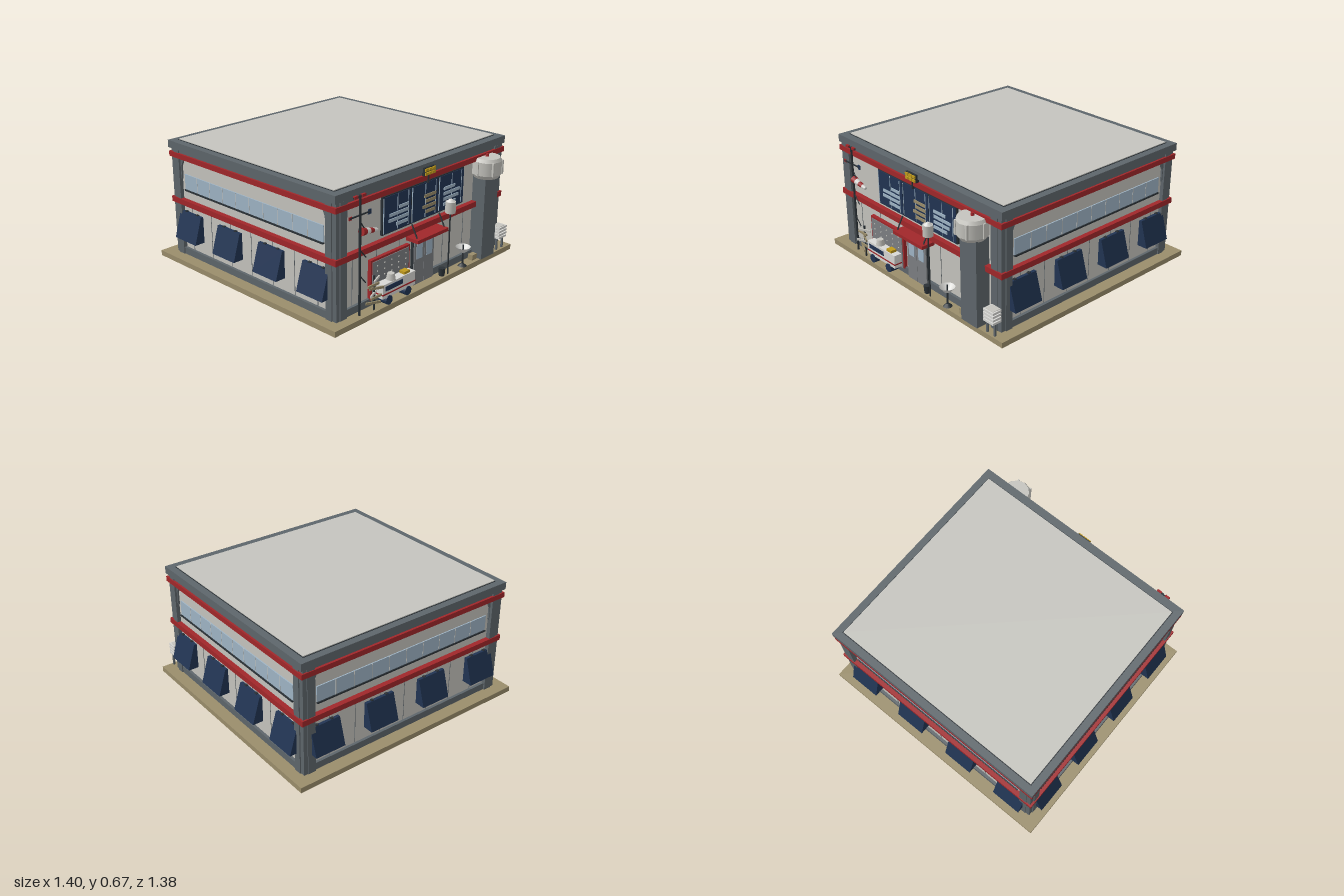
import * as THREE from 'three';

const mat = (name, color, side = THREE.FrontSide) => {
  const m = new THREE.MeshStandardMaterial({ color, side });
  m.name = name;
  return m;
};

export function createModel() {
  const sand = mat('sand', 0x9a8d6b), wall = mat('wallGrey', 0xc5c4be), grey = mat('midGrey', 0x7c7f82),
    slate = mat('slate', 0x5e666b), red = mat('red', 0xa1272a), navy = mat('navy', 0x213453),
    glass = mat('paleBlue', 0x9fb4c5), yellow = mat('yellow', 0xc09a1c), dark = mat('darkMetal', 0x2a3136),
    white = mat('offWhite', 0xd8d8d5, THREE.DoubleSide);
  const model = new THREE.Group();
  model.name = 'building';

  const add = (parent, name, geo, m, x = 0, y = 0, z = 0) => {
    const mesh = new THREE.Mesh(geo, m);
    mesh.name = name;
    mesh.position.set(x, y, z);
    parent.add(mesh);
    return mesh;
  };
  // box given by its ranges
  const box = (parent, name, m, x0, x1, y0, y1, z0, z1) =>
    add(parent, name, new THREE.BoxGeometry(x1 - x0, y1 - y0, z1 - z0), m, (x0 + x1) / 2, (y0 + y1) / 2, (z0 + z1) / 2);
  const cyl = (parent, name, m, x, y0, y1, z, r0, r1 = r0, n = 12) =>
    add(parent, name, new THREE.CylinderGeometry(r1, r0, y1 - y0, n), m, x, (y0 + y1) / 2, z);
  const group = (name, parent = model) => {
    const g = new THREE.Group();
    g.name = name;
    parent.add(g);
    return g;
  };

  // base, walls and roof
  box(model, 'groundSlab', sand, -0.7, 0.7, 0.001, 0.03, -0.67, 0.66);
  box(model, 'underside', wall, -0.62, 0.62, 0, 0.002, -0.59, 0.59);
  box(model, 'walls', wall, -0.62, 0.62, 0.03, 0.62, -0.585, 0.585);
  box(model, 'plinth', slate, -0.635, 0.635, 0.03, 0.068, -0.6, 0.6);
  box(model, 'lowerBand', red, -0.646, 0.646, 0.32, 0.35, -0.613, 0.613);
  box(model, 'upperBand', red, -0.646, 0.646, 0.575, 0.603, -0.613, 0.613);
  box(model, 'cornice', slate, -0.635, 0.635, 0.603, 0.625, -0.6, 0.6);
  box(model, 'parapet', slate, -0.648, 0.648, 0.622, 0.662, -0.615, 0.612);
  box(model, 'roofEdge', dark, -0.61, 0.61, 0.655, 0.664, -0.577, 0.568);
  box(model, 'roofPanel', wall, -0.606, 0.606, 0.655, 0.668, -0.573, 0.564);

  // stepped corner pillars
  for (const sx of [-1, 1]) for (const sz of [-1, 1]) {
    const g = group('cornerPillar');
    const at = (name, w, d, cx, cz) => add(g, name, new THREE.BoxGeometry(w, 0.59, d), slate, sx * cx, 0.325, sz * cz);
    at('pillarCore', 0.065, 0.065, 0.6025, 0.5725);
    at('pillarFrontLeaf', 0.045, 0.03, 0.59, 0.594);
    at('pillarSideLeaf', 0.03, 0.04, 0.626, 0.56);
  }

  // awning wedge: local x is outward, turned to +z
  const wedge = new THREE.Shape([[0, 0.28], [0.016, 0.28], [0.06, 0.135], [0, 0.135]].map(p => new THREE.Vector2(...p)));
  const awningGeo = new THREE.ExtrudeGeometry(wedge, { depth: 0.172, bevelEnabled: false });
  awningGeo.translate(0, 0, -0.086).rotateY(-Math.PI / 2);

  // side and back facades
  const facade = (name, angle, off, half, outer, inner) => {
    const g = group(name);
    g.rotation.y = angle;
    for (const u of [-outer, -inner, inner, outer]) {
      add(g, 'awning', awningGeo, navy, u, 0, off);
      for (const s of [-0.045, 0.045]) box(g, 'awningBracket', dark, u + s - 0.008, u + s + 0.008, 0.272, 0.284, off, off + 0.014);
    }
    box(g, 'windowStrip', glass, -half, half, 0.406, 0.49, off, off + 0.006);
    box(g, 'windowSill', dark, -half, half, 0.398, 0.406, off, off + 0.012);
    for (let i = 1; i < 10; i++) {
      const u = -half + i * half / 5;
      box(g, 'mullion', wall, u - 0.0015, u + 0.0015, 0.406, 0.49, off, off + 0.007);
    }
    for (let i = -3; i <= 3; i++)
      box(g, 'wallSeam', slate, i * 0.157 - 0.001, i * 0.157 + 0.001, 0.07, 0.32, off, off + 0.002);
    for (const s of [-1, 1]) {
      const pts = [[0, 0.575], [s * 0.03, 0.575], [s * 0.03, 0.46], [s * 0.022, 0.46], [s * 0.022, 0.53]];
      const brace = new THREE.Shape(pts.map(p => new THREE.Vector2(...p)));
      add(g, 'cornerBrace', new THREE.ExtrudeGeometry(brace, { depth: 0.01, bevelEnabled: false }), slate, s * (half - 0.003), 0, off);
    }
  };
  facade('leftFacade', Math.PI / 2, 0.62, 0.515, 0.47, 0.157);
  facade('rightFacade', -Math.PI / 2, 0.62, 0.515, 0.47, 0.157);
  facade('backFacade', Math.PI, 0.585, 0.545, 0.505, 0.17);

  // front upper window with display bars
  const Z = 0.585;
  const win = group('frontWindow');
  box(win, 'windowFrame', dark, -0.315, 0.315, 0.368, 0.563, Z, Z + 0.012);
  const bars = [[0.07, 0.14, 0.145, 0.09], [0.09, 0.08, 0.1, 0.08], [0.09, 0.13, 0.12, 0.1]];
  [-0.21, 0, 0.21].forEach((x, i) => {
    box(win, 'pane', navy, x - 0.1, x + 0.1, 0.373, 0.558, Z, Z + 0.016);
    bars[i].forEach((w, j) => {
      const y = 0.488 - j * 0.028, x1 = i === 2 ? x - 0.065 + w : x + 0.08;
      box(win, 'displayBar', i === 1 ? sand : glass, x1 - w, x1, y - 0.008, y + 0.008, Z + 0.014, Z + 0.02);
    });
    for (const s of [-0.1, 0.0, 0.08]) box(win, 'mullion', glass, x + s - 0.0015, x + s + 0.0015, 0.377, 0.555, Z + 0.014, Z + 0.018);
  });
  for (let i = -3; i <= 3; i++) box(model, 'frontSeam', slate, i * 0.17 - 0.001, i * 0.17 + 0.001, 0.07, 0.32, Z, Z + 0.002);

  // double door and canopy
  const door = group('entrance');
  box(door, 'doorFrame', dark, -0.083, 0.078, 0.03, 0.276, Z, Z + 0.016);
  for (const s of [-1, 1]) {
    const x = -0.0025 + s * 0.039;
    box(door, 'doorLeaf', grey, x - 0.038, x + 0.038, 0.03, 0.272, Z, Z + 0.022);
    box(door, 'doorGlass', glass, x - 0.022, x + 0.022, 0.168, 0.25, Z + 0.018, Z + 0.025);
    const rod = cyl(door, 'canopyRod', dark, s * 0.107, 0.3, 0.375, 0.625, 0.004, 0.004, 6);
    rod.rotation.x = -0.5;
  }
  box(door, 'canopy', red, -0.122, 0.119, 0.284, 0.302, Z, 0.662);

  // garage opening
  const garage = group('garageDoor');
  box(garage, 'garageFrame', red, -0.4, -0.115, 0.06, 0.268, Z, Z + 0.02);
  box(garage, 'garageShutter', grey, -0.39, -0.125, 0.06, 0.257, Z, Z + 0.024);
  for (let r = 0; r < 3; r++) for (let c = 0; c < 5; c++)
    box(garage, 'shutterRivet', wall, -0.362 + c * 0.052, -0.356 + c * 0.052, 0.17 + r * 0.03, 0.176 + r * 0.03, Z + 0.02, Z + 0.027);

  // service cart
  const cart = group('cart');
  box(cart, 'cartBody', white, -0.37, -0.13, 0.072, 0.146, 0.611, 0.656);
  box(cart, 'cartStripe', red, -0.371, -0.129, 0.09, 0.097, 0.61, 0.658);
  box(cart, 'cartPanel', navy, -0.352, -0.225, 0.11, 0.134, 0.654, 0.659);
  box(cart, 'cartBox', yellow, -0.205, -0.165, 0.146, 0.16, 0.617, 0.65);
  cyl(cart, 'cartPot', wall, -0.285, 0.146, 0.178, 0.632, 0.024, 0.018);
  for (const x of [-0.325, -0.185])
    add(cart, 'cartWheel', new THREE.CylinderGeometry(0.024, 0.024, 0.05, 16).rotateX(Math.PI / 2), navy, x, 0.056, 0.635);

  // square tower with a faceted tank
  const tower = group('tower');
  box(tower, 'towerShaft', slate, 0.415, 0.53, 0.03, 0.49, 0.585, 0.665);
  cyl(tower, 'towerCollar', wall, 0.468, 0.482, 0.503, 0.63, 0.066, 0.08, 12);
  cyl(tower, 'towerTank', wall, 0.468, 0.503, 0.575, 0.63, 0.08, 0.08, 12);
  cyl(tower, 'towerCap', wall, 0.468, 0.575, 0.592, 0.63, 0.08, 0.07, 12);
  cyl(tower, 'towerBeacon', red, 0.468, 0.592, 0.605, 0.63, 0.01, 0.008, 8);
  for (let i = 0; i < 6; i++) {
    const a = i * Math.PI / 3;
    add(tower, 'tankRib', new THREE.BoxGeometry(0.012, 0.075, 0.012), wall, 0.468 + Math.cos(a) * 0.079, 0.54, 0.63 + Math.sin(a) * 0.079);
  }

  // mast with vane, sock and lamp bar
  const mast = group('mast');
  cyl(mast, 'mastPole', dark, -0.505, 0.03, 0.635, 0.63, 0.006, 0.006, 8);
  box(mast, 'mastLampBar', dark, -0.55, -0.47, 0.626, 0.632, 0.627, 0.633);
  for (const x of [-0.535, -0.485]) box(mast, 'mastLamp', red, x - 0.013, x + 0.013, 0.624, 0.637, 0.624, 0.636);
  box(mast, 'vaneArm', dark, -0.575, -0.44, 0.535, 0.541, 0.627, 0.633);
  box(mast, 'vaneTail', navy, -0.452, -0.432, 0.526, 0.55, 0.628, 0.632);
  box(mast, 'vaneTip', red, -0.58, -0.56, 0.53, 0.546, 0.628, 0.632);
  for (let i = 0; i < 4; i++) {
    const r = 0.02 - i * 0.003;
    const ring = add(mast, 'windSock', new THREE.CylinderGeometry(r - 0.003, r, 0.028, 10), i % 2 ? white : red, -0.485 + i * 0.027, 0.452 - i * 0.005, 0.632);
    ring.rotation.z = -Math.PI / 2 - 0.18;
  }
  for (const [y, a] of [[0.21, 0.7], [0.34, 0.7], [0.475, 0.6]]) {
    const stay = cyl(mast, 'mastStay', dark, -0.483, y - 0.03, y + 0.03, 0.63, 0.003, 0.003, 6);
    stay.rotation.z = a;
  }

  // signpost with arrow boards
  const post = group('signpost');
  cyl(post, 'signPole', dark, -0.415, 0.03, 0.21, 0.64, 0.005, 0.005, 6);
  for (let i = 0; i < 6; i++) {
    const x = -0.415 + (i % 2 ? 0.01 : -0.012);
    const b = box(post, 'signBoard', i % 3 === 2 ? wall : sand, x - 0.038, x + 0.038, 0.068 + i * 0.023, 0.08 + i * 0.023, 0.643, 0.65);
    b.rotation.y = (i % 3 - 1) * 0.4;
  }

  // dish on a stand
  const dish = group('dish');
  const profile = [[0.004, 0.105], [0.02, 0.115], [0.04, 0.14]].map(p => new THREE.Vector2(...p));
  add(dish, 'dishBowl', new THREE.LatheGeometry(profile, 16), white, 0.282, 0, 0.64);
  cyl(dish, 'dishStem', dark, 0.282, 0.035, 0.15, 0.64, 0.005, 0.004, 8);
  cyl(dish, 'dishFoot', dark, 0.282, 0.03, 0.045, 0.64, 0.025, 0.008, 8);

  // lantern post, bin and crate by the door
  cyl(model, 'lanternPole', dark, 0.15, 0.03, 0.375, 0.645, 0.004, 0.004, 8);
  cyl(model, 'lantern', wall, 0.15, 0.37, 0.43, 0.645, 0.027, 0.027, 12);
  cyl(model, 'lanternCap', white, 0.15, 0.43, 0.442, 0.645, 0.022, 0.008, 12);
  cyl(model, 'bin', dark, 0.113, 0.03, 0.072, 0.635, 0.015, 0.018, 10);
  box(model, 'smallCrate', sand, 0.37, 0.41, 0.03, 0.06, 0.61, 0.64);

  // slatted vent unit on legs
  const unit = group('ventUnit');
  for (let i = 0; i < 4; i++) box(unit, 'ventSlat', white, 0.573, 0.643, 0.097 + i * 0.018, 0.109 + i * 0.018, 0.612, 0.665);
  box(unit, 'ventCore', wall, 0.58, 0.636, 0.095, 0.165, 0.61, 0.658);
  for (const x of [0.582, 0.634]) box(unit, 'ventLeg', slate, x - 0.005, x + 0.005, 0.03, 0.1, 0.64, 0.65);

  // roof-edge sign
  const sign = group('frontSign');
  for (let r = 0; r < 2; r++) for (let c = -1; c <= 1; c++)
    box(sign, 'signBlock', yellow, c * 0.027 - 0.011, c * 0.027 + 0.011, 0.608 + r * 0.02, 0.622 + r * 0.02, 0.605, 0.63);
  box(sign, 'signBacking', dark, -0.04, 0.04, 0.604, 0.646, 0.605, 0.623);
  box(sign, 'signBar', dark, -0.003, 0.003, 0.56, 0.61, 0.606, 0.618);

  return model;
}
